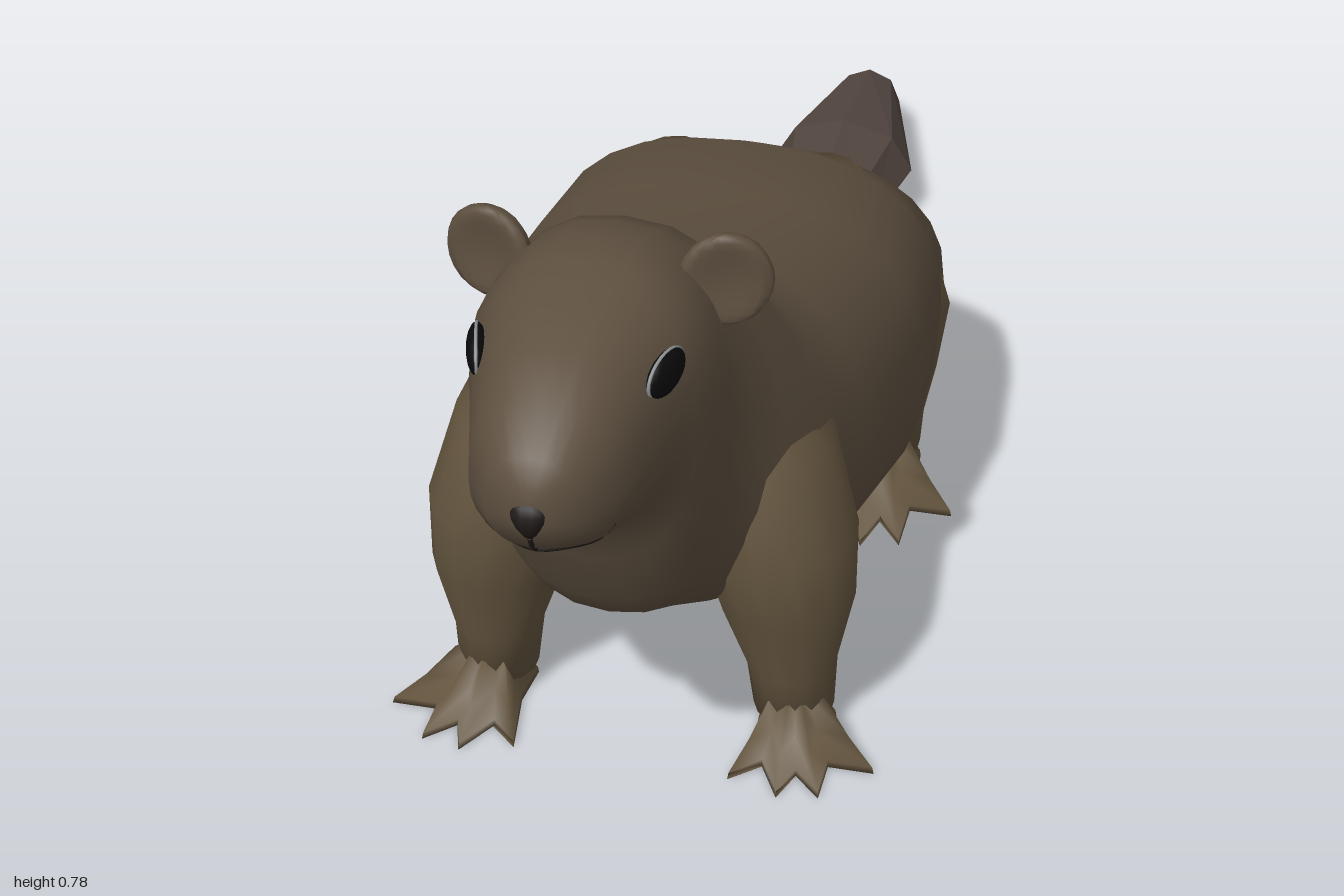
import * as THREE from 'three';

const mat = (color, extra = {}) => {
  const m = new THREE.MeshStandardMaterial({ color, ...extra });
  return m;
};

// Skin a list of closed rings (arrays of Vector3) and cap both ends
function loft(rings) {
  const n = rings[0].length, last = rings.length - 1;
  const pts = rings.flat();
  const mid = (r) => r.reduce((s, p) => s.add(p), new THREE.Vector3()).divideScalar(n);
  pts.push(mid(rings[0]), mid(rings[last]));
  const index = [];
  for (let j = 0; j < n; j++) {
    const k = (j + 1) % n;
    for (let i = 0; i < last; i++) {
      const a = i * n + j, b = i * n + k;
      index.push(a, b, a + n, b, b + n, a + n);
    }
    index.push(pts.length - 2, k, j, pts.length - 1, last * n + j, last * n + k);
  }
  const g = new THREE.BufferGeometry().setFromPoints(pts);
  g.setIndex(index);
  g.computeVertexNormals();
  return g;
}

// Upright ring across z: top, bottom, half width, height of the widest point
function crossRing([z, top, bottom, halfWidth, wide], sides, power) {
  const bend = (v) => Math.sign(v) * Math.abs(v) ** (2 / power);
  return Array.from({ length: sides }, (_, j) => {
    const t = (j / sides) * Math.PI * 2;
    const c = bend(Math.cos(t));
    const y = wide + c * (c > 0 ? top - wide : wide - bottom);
    return new THREE.Vector3(halfWidth * bend(Math.sin(t)), y, z);
  });
}

// Level ring for a limb: height, centre x, centre z, radii
function levelRing([y, x, z, rx, rz], sides = 14) {
  return Array.from({ length: sides }, (_, j) => {
    const t = (j / sides) * Math.PI * 2;
    return new THREE.Vector3(x + rx * Math.sin(t), y, z + rz * Math.cos(t));
  });
}

// Body and head, nose to rump: z, top, bottom, half width, widest height
const BODY = [
  [0.99, 0.645, 0.59, 0.022, 0.615],
  [0.975, 0.675, 0.56, 0.052, 0.612],
  [0.93, 0.715, 0.53, 0.083, 0.605],
  [0.87, 0.742, 0.505, 0.1, 0.61],
  [0.81, 0.757, 0.49, 0.117, 0.62],
  [0.77, 0.765, 0.4, 0.13, 0.62],
  [0.73, 0.772, 0.31, 0.142, 0.6],
  [0.68, 0.775, 0.255, 0.15, 0.55],
  [0.62, 0.758, 0.22, 0.165, 0.45],
  [0.57, 0.735, 0.19, 0.19, 0.38],
  [0.51, 0.67, 0.16, 0.22, 0.34],
  [0.45, 0.61, 0.14, 0.235, 0.32],
  [0.36, 0.575, 0.105, 0.25, 0.3],
  [0.15, 0.53, 0.05, 0.28, 0.28],
  [-0.03, 0.5, 0.035, 0.27, 0.27],
  [-0.14, 0.435, 0.03, 0.255, 0.25],
  [-0.22, 0.375, 0.03, 0.18, 0.2],
  [-0.29, 0.23, 0.03, 0.1, 0.13],
  [-0.38, 0.142, 0.03, 0.048, 0.085],
  [-0.45, 0.13, 0.035, 0.045, 0.082],
];

const TAIL = [
  [-0.38, 0.138, 0.032, 0.044, 0.085],
  [-0.55, 0.14, 0.02, 0.075, 0.08],
  [-0.72, 0.153, 0.008, 0.107, 0.078],
  [-0.93, 0.13, 0.04, 0.048, 0.08],
  [-1, 0.083, 0.077, 0.003, 0.08],
];

// Limbs, ankle to shoulder or hip: y, x, z, rx, rz
const FRONT_LEG = [
  [0.03, 0.19, 0.52, 0.05, 0.05],
  [0.1, 0.187, 0.52, 0.056, 0.06],
  [0.2, 0.18, 0.525, 0.085, 0.085],
  [0.3, 0.165, 0.52, 0.1, 0.11],
  [0.42, 0.135, 0.5, 0.095, 0.115],
  [0.5, 0.1, 0.48, 0.06, 0.08],
];
const HIND_LEG = [
  [0.025, 0.19, -0.07, 0.05, 0.055],
  [0.08, 0.19, -0.06, 0.055, 0.075],
  [0.15, 0.185, -0.06, 0.075, 0.1],
  [0.25, 0.175, -0.06, 0.1, 0.125],
  [0.35, 0.15, -0.05, 0.1, 0.12],
  [0.45, 0.1, -0.03, 0.06, 0.08],
];

// Sole outline with four pointed toes: x, z
const SOLE = [
  [0.2, 0.67], [0.215, 0.625], [0.25, 0.66], [0.25, 0.6], [0.307, 0.6], [0.25, 0.55],
  [0.24, 0.5], [0.19, 0.468], [0.145, 0.5], [0.15, 0.56], [0.135, 0.65], [0.17, 0.615],
];

// Foot narrows from the spread toes up into the ankle
function footGeometry(toZ, ankleX, ankleZ) {
  const layers = [[0, 1], [0.008, 0.98], [0.032, 0.68], [0.065, 0.4]];
  return loft(layers.map(([y, k]) => SOLE.map(([x, z]) => new THREE.Vector3(
    THREE.MathUtils.lerp(ankleX, x, k), y, THREE.MathUtils.lerp(ankleZ, toZ(z), k)))));
}

export function createModel() {
  const model = new THREE.Group();
  const fur = mat(0x5e5040), legFur = mat(0x64553f), tailFur = mat(0x51453f, { flatShading: true });
  const dark = mat(0x0c0b0b), noseSkin = mat(0x1e1917), rimColor = mat(0x8f9296);

  const add = (parent, name, geometry, material) => {
    const mesh = new THREE.Mesh(geometry, material);
    mesh.name = name;
    parent.add(mesh);
    return mesh;
  };

  add(model, 'body', loft(BODY.map((s) => crossRing(s, 28, 2.4))), fur);
  add(model, 'tail', loft(TAIL.map((s) => crossRing(s, 8, 2))), tailFur);

  // Nose: a ball pinched towards its lower end
  const nose = new THREE.SphereGeometry(1, 14, 10);
  const p = nose.attributes.position;
  for (let i = 0; i < p.count; i++) p.setX(i, p.getX(i) * (0.75 + 0.45 * p.getY(i)));
  nose.scale(0.034, 0.03, 0.032);
  nose.computeVertexNormals();
  add(model, 'nose', nose, noseSkin).position.set(0, 0.604, 0.968);

  // Mouth line and the groove under the nose
  const tube = (pts, r) => new THREE.TubeGeometry(
    new THREE.CatmullRomCurve3(pts.map((q) => new THREE.Vector3(...q))), 16, r, 5);
  add(model, 'mouth', tube([[-0.076, 0.572, 0.925], [-0.06, 0.553, 0.931], [-0.03, 0.55, 0.95],
    [0, 0.55, 0.961], [0.03, 0.55, 0.95], [0.06, 0.553, 0.931], [0.076, 0.572, 0.925]], 0.004), noseSkin);
  add(model, 'lipGroove', tube([[0, 0.58, 0.985], [0, 0.565, 0.977], [0, 0.55, 0.962]], 0.003), noseSkin);

  // Ear: flattened ball, hollowed on its front face
  const ear = new THREE.SphereGeometry(1, 16, 12);
  const e = ear.attributes.position;
  for (let i = 0; i < e.count; i++) {
    const r2 = e.getX(i) ** 2 + e.getY(i) ** 2;
    if (e.getZ(i) > 0) e.setZ(i, e.getZ(i) - 0.9 * (1 - r2));
  }
  ear.scale(0.054, 0.058, 0.032);
  ear.computeVertexNormals();

  for (const side of [1, -1]) {
    const half = new THREE.Group();
    half.name = side > 0 ? 'leftSide' : 'rightSide';
    half.scale.x = side;
    model.add(half);

    const earMesh = add(half, 'ear', ear, fur);
    earMesh.position.set(0.137, 0.721, 0.655);
    earMesh.rotation.y = 0.25;

    // Eye with a thin pale rim, lying on the cheek
    const eye = new THREE.Group();
    eye.name = 'eye';
    eye.position.set(0.106, 0.692, 0.81);
    eye.rotation.set(0, 1.3, 0);
    half.add(eye);
    add(eye, 'eyeball', new THREE.SphereGeometry(1, 18, 12), dark).scale.set(0.038, 0.026, 0.012);
    add(eye, 'eyeRim', new THREE.TorusGeometry(1, 0.05, 6, 24), rimColor).scale.set(0.038, 0.026, 0.04);

    add(half, 'frontLeg', loft(FRONT_LEG.map((s) => levelRing(s))), legFur);
    add(half, 'frontFoot', footGeometry((z) => z, 0.19, 0.52), legFur);
    add(half, 'hindLeg', loft(HIND_LEG.map((s) => levelRing(s))), legFur);
    add(half, 'hindFoot', footGeometry((z) => (z - 0.465) * 1.35 - 0.13, 0.19, -0.06), legFur);
  }
  return model;
}
